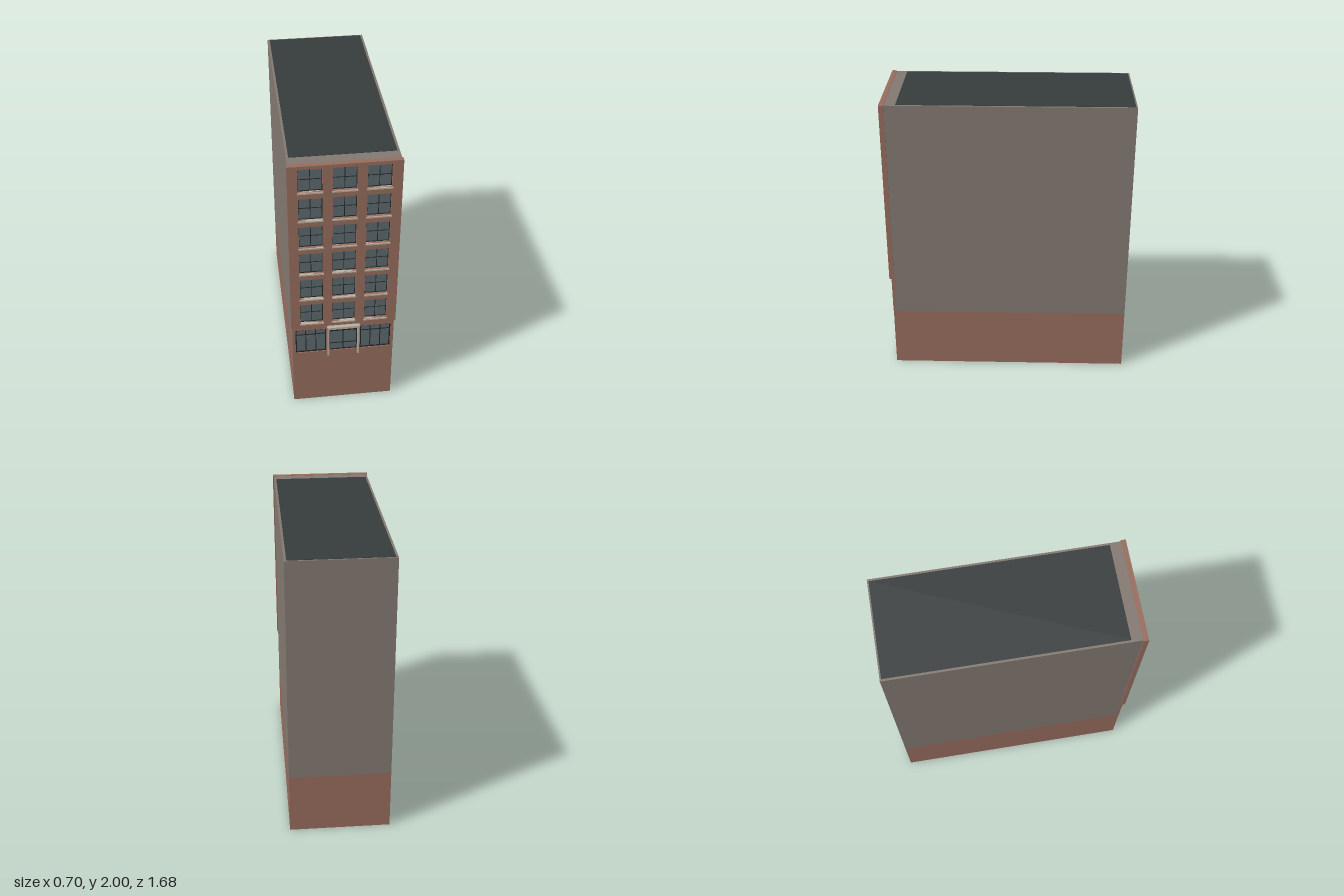
import * as THREE from 'three';

const mat = (color) => new THREE.MeshStandardMaterial({ color });

export function createModel() {
  const model = new THREE.Group();
  model.name = 'building';
  const brick = mat(0x966c5d), render = mat(0x827870), roofing = mat(0x363b3c);
  const glass = mat(0x5c6a6e), frame = mat(0x22272a), stone = mat(0xb9ae9e);

  // Box given by its limits
  function box(parent, name, material, x0, x1, y0, y1, z0, z1) {
    const mesh = new THREE.Mesh(new THREE.BoxGeometry(x1 - x0, y1 - y0, z1 - z0), material);
    mesh.position.set((x0 + x1) / 2, (y0 + y1) / 2, (z0 + z1) / 2);
    mesh.name = name;
    parent.add(mesh);
    return mesh;
  }

  // Flat wall with rectangular openings [x0, x1, y0, y1]
  function wall(name, x, y0, y1, z0, z1, openings) {
    const rect = (P, a, b, c, d) => {
      const p = new P();
      p.moveTo(a, c).lineTo(b, c).lineTo(b, d).lineTo(a, d).closePath();
      return p;
    };
    const shape = rect(THREE.Shape, -x, x, y0, y1);
    shape.holes = openings.map((o) => rect(THREE.Path, ...o));
    const geo = new THREE.ExtrudeGeometry(shape, { depth: z1 - z0, bevelEnabled: false });
    const mesh = new THREE.Mesh(geo, brick);
    mesh.position.z = z0;
    mesh.name = name;
    model.add(mesh);
  }

  // Glazing with a border frame and inner bars at the given x and y positions
  function glazing(name, [x0, x1, y0, y1], z, edge, bar, barsX, barsY) {
    const g = new THREE.Group();
    g.name = name;
    box(g, 'glass', glass, x0, x1, y0, y1, 0.794, z);
    const f = z + 0.005;
    box(g, 'frameLeft', frame, x1 - edge, x1, y0, y1, z, f);
    box(g, 'frameRight', frame, x0, x0 + edge, y0, y1, z, f);
    box(g, 'frameTop', frame, x0 + edge, x1 - edge, y1 - edge, y1, z, f);
    box(g, 'frameBottom', frame, x0 + edge, x1 - edge, y0, y0 + edge, z, f);
    for (const x of barsX) box(g, 'mullion', frame, x - bar / 2, x + bar / 2, y0 + edge, y1 - edge, z, f - 0.001);
    for (const y of barsY) box(g, 'transom', frame, x0 + edge, x1 - edge, y - bar / 2, y + bar / 2, z, f - 0.002);
    model.add(g);
  }

  // Main mass: brick base, rendered upper block, roof
  box(model, 'base', brick, -0.345, 0.345, 0, 0.435, -0.84, 0.812);
  box(model, 'upperBlock', render, -0.345, 0.345, 0.435, 1.998, -0.84, 0.795);
  box(model, 'roof', roofing, -0.33, 0.33, 1.99, 2, -0.83, 0.72);

  // Upper facade: six rows of three windows with stone sills
  const windows = [];
  for (let row = 0; row < 6; row++) {
    for (const x of [-0.212, 0, 0.212]) {
      const y = 0.825 + row * 0.2137;
      windows.push([x - 0.075, x + 0.075, y - 0.083, y + 0.083]);
    }
  }
  wall('upperFacade', 0.352, 0.705, 2, 0.795, 0.828, windows);
  for (const w of windows) {
    const [x0, x1, y0, y1] = w;
    glazing('window', w, 0.804, 0.004, 0.004, [(x0 + x1) / 2], [(y0 + y1) / 2]);
    box(model, 'sill', stone, x0 - 0.005, x1 + 0.005, y0 - 0.01, y0, 0.8, 0.834);
  }

  // Ground floor facade with two shopfronts and a central entrance
  const shops = [[-0.324, -0.116, 0.46, 0.666], [0.116, 0.324, 0.46, 0.666]];
  const entrance = [-0.096, 0.096, 0.46, 0.675];
  wall('groundFacade', 0.345, 0.435, 0.705, 0.795, 0.814, [...shops, entrance]);
  for (const s of shops) {
    const mid = (s[0] + s[1]) / 2;
    glazing('shopfront', s, 0.802, 0.008, 0.006, [mid - 0.034, mid + 0.034], [0.618]);
  }
  glazing('entranceDoors', [-0.096, 0.096, 0.46, 0.637], 0.802, 0.006, 0.006, [0], [0.52]);
  box(model, 'doorHeader', frame, -0.096, 0.096, 0.637, 0.675, 0.794, 0.81);

  // Stone door surround
  for (const s of [-1, 1]) {
    box(model, 'doorPost', stone, s * 0.102 - 0.006, s * 0.102 + 0.006, 0.435, 0.674, 0.8, 0.838);
  }
  box(model, 'doorLintel', stone, -0.109, 0.109, 0.674, 0.692, 0.8, 0.84);

  return model;
}
